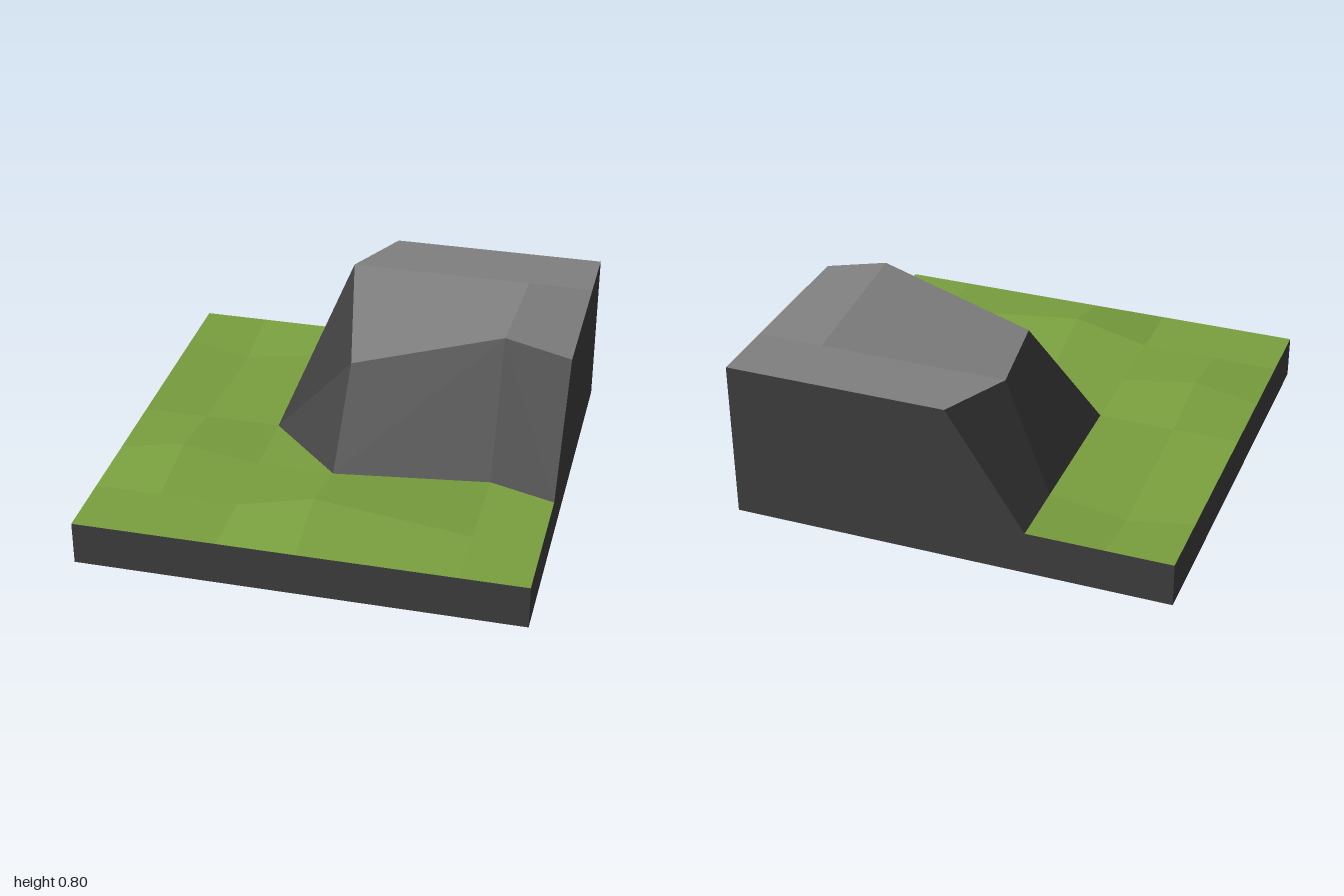
import * as THREE from 'three';

const material = (name, color) => {
  const m = new THREE.MeshStandardMaterial({ color });
  m.name = name;
  return m;
};

// Grid lines and heights of the terrain, rows running from back to front
const xs = [-1, -0.7, -0.35, 0, 0.7, 1];
const zs = [-1, -0.69, 0, 0.345, 0.69, 1];
const heights = [
  [0.2, 0.2, 0.2, 0.73, 0.73, 0.73],
  [0.2, 0.15, 0.2, 0.73, 0.73, 0.73],
  [0.2, 0.2, 0.2, 0.58, 0.8, 0.73],
  [0.2, 0.255, 0.2, 0.2, 0.2, 0.2],
  [0.2, 0.2, 0.2, 0.285, 0.2, 0.2],
  [0.2, 0.2, 0.2, 0.2, 0.2, 0.2],
];

function point(i, j) {
  const p = new THREE.Vector3(xs[i], heights[j][i], zs[j]);
  if (i === 3 && j === 1) p.x = -0.15; // plateau edge bulges out
  if (i === 4 && j === 3) p.z = 0.25; // cliff foot steps back
  return p;
}

// Triangles and quads (split from first to third corner), one normal per facet
function facetMesh(name, facets, mat) {
  const positions = [], normals = [];
  for (const f of facets) {
    const [a, b, c, d] = f;
    const n = d
      ? c.clone().sub(a).cross(d.clone().sub(b))
      : b.clone().sub(a).cross(c.clone().sub(a));
    n.normalize();
    for (const p of d ? [a, b, c, a, c, d] : [a, b, c]) {
      positions.push(p.x, p.y, p.z);
      normals.push(n.x, n.y, n.z);
    }
  }
  const geometry = new THREE.BufferGeometry();
  geometry.setAttribute('position', new THREE.Float32BufferAttribute(positions, 3));
  geometry.setAttribute('normal', new THREE.Float32BufferAttribute(normals, 3));
  const mesh = new THREE.Mesh(geometry, mat);
  mesh.name = name;
  return mesh;
}

export function createModel() {
  const grass = [], cliff = [], plateau = [], base = [];
  const last = xs.length - 1;

  // Terrain surface, sorted by kind of ground
  for (let j = 0; j < last; j++) {
    for (let i = 0; i < last; i++) {
      const a = point(i, j + 1), b = point(i + 1, j + 1);
      const c = point(i + 1, j), d = point(i, j);
      if (i === 2 && j === 2) { // outer corner of the cliff
        grass.push([a, b, d]);
        cliff.push([b, c, d]);
        continue;
      }
      const onPlateau = i >= 3 && j < 2;
      const onCliff = (i === 2 && j < 2) || (j === 2 && i >= 3);
      const flip = (i === 2 && j === 0) || (i === 4 && j === 2);
      const target = onPlateau ? plateau : onCliff ? cliff : grass;
      target.push(flip ? [b, c, d, a] : [a, b, c, d]);
    }
  }

  // Outer walls dropping from the rim to the ground
  const floor = (p) => new THREE.Vector3(p.x, 0, p.z);
  const wall = (p, q) => base.push([floor(p), floor(q), q, p]);
  for (let k = 0; k < last; k++) {
    wall(point(k, last), point(k + 1, last));
    wall(point(k + 1, 0), point(k, 0));
    wall(point(last, k + 1), point(last, k));
    wall(point(0, k), point(0, k + 1));
  }

  // Underside
  base.push([point(0, 0), point(last, 0), point(last, last), point(0, last)].map(floor));

  const stone = material('darkStone', 0x404040);
  const group = new THREE.Group();
  group.name = 'cliffCornerTile';
  group.add(
    facetMesh('grass', grass, material('grassGreen', 0x7aa03f)),
    facetMesh('cliffFace', cliff, stone),
    facetMesh('plateau', plateau, material('lightStone', 0x808080)),
    facetMesh('base', base, stone),
  );
  return group;
}
